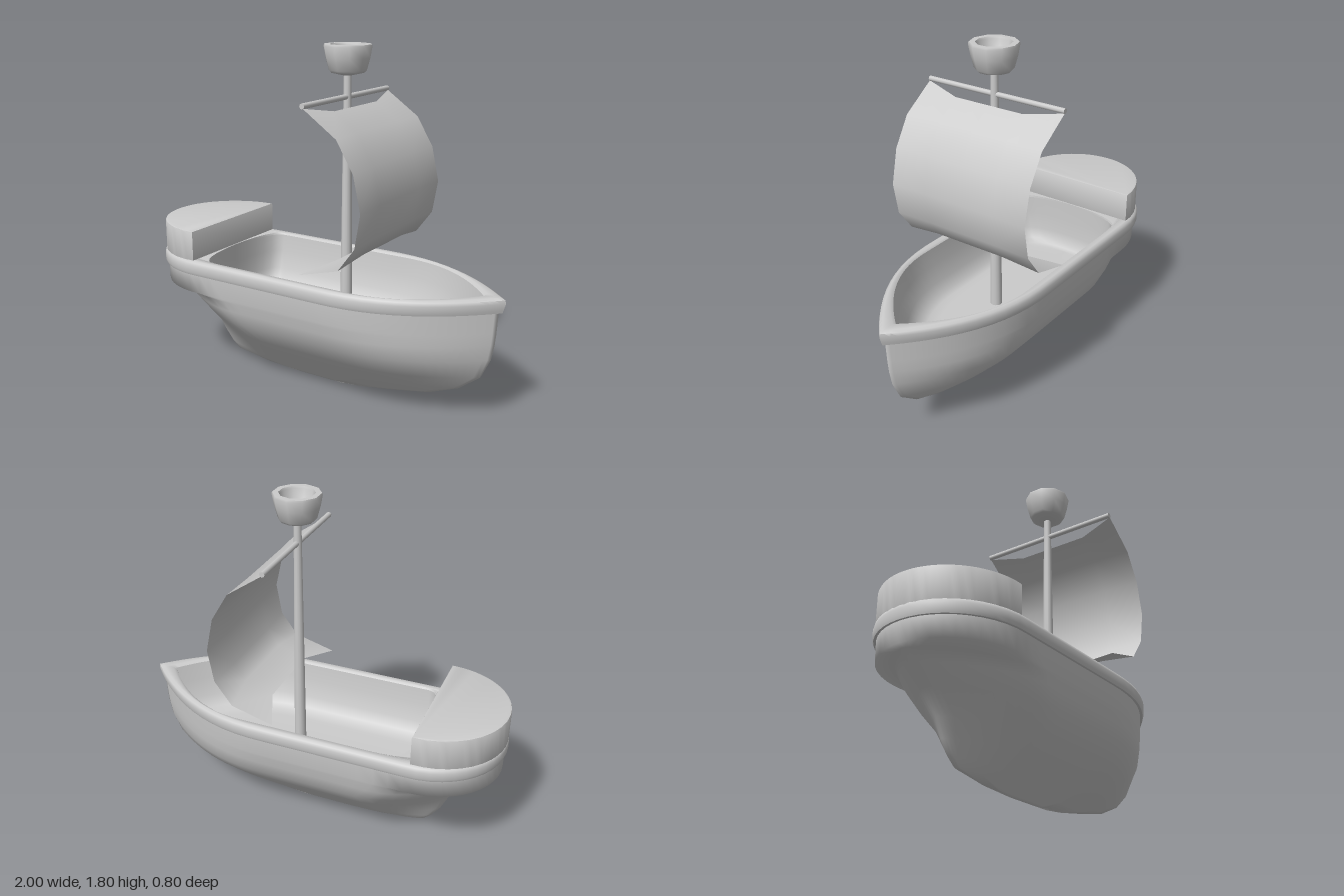
import * as THREE from 'three';
import { toCreasedNormals } from 'three/addons/utils/BufferGeometryUtils.js';

const material = new THREE.MeshStandardMaterial({ color: 0xcccccc, side: THREE.DoubleSide });
const MAST_X = 0.125;

function add(parent, name, geometry, x = 0, y = 0, z = 0) {
  const mesh = new THREE.Mesh(geometry, material);
  mesh.name = name;
  mesh.position.set(x, y, z);
  parent.add(mesh);
  return mesh;
}

// Half width of a boat-shaped outline at t (0 = stern, 1 = bow)
function halfWidth(t, sternLength, sternPower) {
  const s = Math.max(0, 1 - t / sternLength);
  const b = Math.max(0, (t - 0.6) / 0.4);
  return Math.pow(1 - Math.pow(s, sternPower), 1 / sternPower) * (1 - Math.pow(b, 2.2));
}

// Skin closed outlines stacked as levels: [y, width, sternX, bowX, sternLength, sternPower]
function loftLevels(levels, creaseAngle, n = 36) {
  const positions = [], index = [], ring = 2 * n;
  for (const [y, w, x0, x1, len, pow] of levels) {
    for (let i = 0; i < ring; i++) {
      const k = i <= n ? i : ring - i;
      const t = (1 - Math.cos(Math.PI * k / n)) / 2;
      const z = w * halfWidth(t, len, pow) * (i <= n ? 1 : -1);
      positions.push(x0 + (x1 - x0) * t, y, z);
    }
  }
  for (let j = 0; j < levels.length - 1; j++) {
    for (let i = 0; i < ring; i++) {
      const a = j * ring + i, b = j * ring + (i + 1) % ring;
      index.push(a, b, a + ring, b, b + ring, a + ring);
    }
  }
  const g = new THREE.BufferGeometry();
  g.setAttribute('position', new THREE.Float32BufferAttribute(positions, 3));
  g.setIndex(index);
  return toCreasedNormals(g, creaseAngle);
}

// Outline styles: tapering underbody, rounded stern, square-cornered well
const TAPER = [0.27, 1.45], ROUND = [0.2, 2], WELL = [0.07, 2.2];

function hullGeometry() {
  return loftLevels([
    [0, 0, -0.2, 0.1, ...TAPER],
    [0.012, 0.012, -0.4, 0.22, ...TAPER],
    [0.045, 0.042, -0.6, 0.42, ...TAPER],
    [0.085, 0.082, -0.645, 0.62, ...TAPER],
    [0.15, 0.145, -0.69, 0.78, ...TAPER],
    [0.235, 0.225, -0.73, 0.89, ...TAPER],
    [0.34, 0.311, -0.82, 0.94, ...TAPER],
    [0.42, 0.338, -0.92, 0.955, ...TAPER],
    [0.47, 0.348, -0.965, 0.96, ...TAPER],
    // overhanging stern band
    [0.485, 0.352, -0.985, 0.961, ...ROUND],
    [0.59, 0.358, -0.985, 0.967, ...ROUND],
  ], 1.7);
}

function rimGeometry() {
  return loftLevels([
    [0.59, 0.356, -0.985, 0.965, ...ROUND],
    [0.59, 0.37, -0.996, 0.985, ...ROUND],
    [0.605, 0.376, -1, 0.99, ...ROUND],
    [0.64, 0.376, -1, 1, ...ROUND],
    [0.657, 0.37, -0.996, 0.996, ...ROUND],
    [0.665, 0.357, -0.985, 0.975, ...ROUND],
    [0.665, 0.332, -0.6, 0.91, ...WELL],
    [0.655, 0.324, -0.6, 0.89, ...WELL],
  ], 0.9);
}

// Inner walls and floor
function wellGeometry() {
  return loftLevels([
    [0.655, 0.324, -0.6, 0.89, ...WELL],
    [0.56, 0.315, -0.6, 0.86, ...WELL],
    [0.46, 0.292, -0.598, 0.82, ...WELL],
    [0.4, 0.265, -0.59, 0.77, ...WELL],
    [0.38, 0.235, -0.575, 0.72, ...WELL],
    [0.375, 0.19, -0.55, 0.67, ...WELL],
    [0.375, 0, -0.55, 0.67, ...WELL],
  ], 1.2);
}

// D-shaped raised deck at the stern
function sternDeckGeometry() {
  const bevel = 0.008;
  const shape = new THREE.Shape();
  shape.absellipse(-0.614, 0, 0.374, 0.348, Math.PI / 2, Math.PI * 1.5, false);
  shape.closePath();
  const g = new THREE.ExtrudeGeometry(shape, {
    depth: 0.17, curveSegments: 20,
    bevelThickness: bevel, bevelSize: bevel, bevelSegments: 2,
  });
  g.rotateX(-Math.PI / 2);
  return toCreasedNormals(g, 0.7);
}

// Billowing sheet; the middle of the first, last and next-to-last rows is cut in
function sailGeometry() {
  const profile = [[0.13, 1.535], [0.31, 1.41], [0.4, 1.26], [0.44, 1.08], [0.41, 0.91], [0.32, 0.79], [0.1, 0.73]];
  const middleShift = { 0: [0.045, -0.033], 5: [0.02, 0.03], 6: [0.09, 0.037] };
  const columns = 4;
  const g = new THREE.PlaneGeometry(0.8, 1, columns, profile.length - 1);
  const p = g.attributes.position;
  for (let i = 0; i < p.count; i++) {
    const row = Math.floor(i / (columns + 1));
    const z = -p.getX(i);
    const [dx, dy] = Math.abs(z) < 0.3 ? middleShift[row] ?? [-0.008, 0] : [0, 0];
    p.setXYZ(i, profile[row][0] + dx, profile[row][1] + dy, z);
  }
  g.computeVertexNormals();
  return g;
}

function lookoutGeometry() {
  const profile = [
    [0.001, 1.648], [0.025, 1.65], [0.086, 1.664], [0.096, 1.676], [0.112, 1.735], [0.122, 1.79], [0.119, 1.8],
    [0.09, 1.8], [0.086, 1.79], [0.076, 1.74], [0.05, 1.7], [0.001, 1.685],
  ].map(([r, y]) => new THREE.Vector2(r, y));
  return toCreasedNormals(new THREE.LatheGeometry(profile, 10), 0.8);
}

export function createModel() {
  const ship = new THREE.Group();
  ship.name = 'sailingShip';

  add(ship, 'hull', hullGeometry());
  add(ship, 'rim', rimGeometry());
  add(ship, 'well', wellGeometry());
  add(ship, 'sternDeck', sternDeckGeometry(), 0, 0.645, 0);

  const rig = new THREE.Group();
  rig.name = 'rigging';
  ship.add(rig);
  add(rig, 'mast', new THREE.CylinderGeometry(0.019, 0.032, 1.3, 12), MAST_X, 1.01, 0);
  add(rig, 'yard', new THREE.CylinderGeometry(0.014, 0.014, 0.8, 8).rotateX(Math.PI / 2), MAST_X, 1.545, 0);
  add(rig, 'sail', sailGeometry());
  add(rig, 'lookout', lookoutGeometry(), MAST_X, 0, 0);

  return ship;
}
